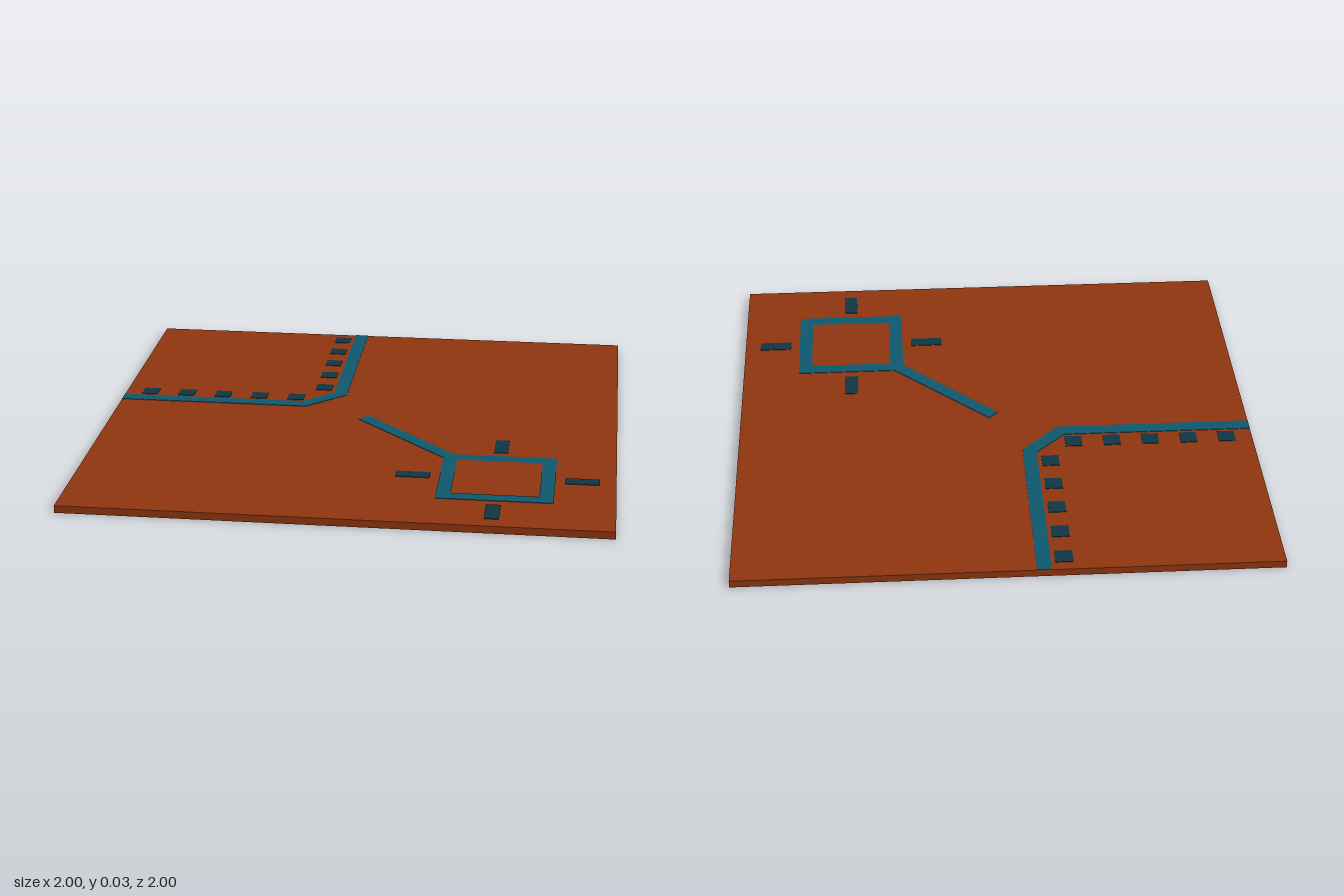
import * as THREE from 'three';

const TOP = 0.028;   // top of the slab
const PAINT = 0.002; // thickness of the markings

export function createModel() {
  const model = new THREE.Group();
  model.name = 'floorTile';

  const material = (name, color) => {
    const m = new THREE.MeshStandardMaterial({ color });
    m.name = name;
    return m;
  };
  const rust = material('rust', 0x8e3510);
  const teal = material('teal', 0x0d576c);
  const darkTeal = material('dark teal', 0x0e3543);

  const box = (name, mat, w, h, d, x, y, z, parent = model) => {
    const mesh = new THREE.Mesh(new THREE.BoxGeometry(w, h, d), mat);
    mesh.name = name;
    mesh.position.set(x, y, z);
    parent.add(mesh);
  };

  // Thin plate from an outline of [x, z] points, with optional holes
  const plate = (name, mat, outline, holes = []) => {
    const points = (list) => list.map(([x, z]) => new THREE.Vector2(x, -z));
    const shape = new THREE.Shape(points(outline));
    holes.forEach((hole) => shape.holes.push(new THREE.Path(points(hole))));
    const geometry = new THREE.ExtrudeGeometry(shape, { depth: PAINT, bevelEnabled: false });
    geometry.rotateX(-Math.PI / 2);
    const mesh = new THREE.Mesh(geometry, mat);
    mesh.name = name;
    mesh.position.y = TOP;
    model.add(mesh);
  };
  const square = (a, b) => [[a, a], [b, a], [b, b], [a, b]];

  // Slab
  box('slab', rust, 2, TOP, 2, 0, TOP / 2, 0);

  // Corner line with a chamfered bend
  plate('cornerLine', teal, [
    [-1, -0.152], [-0.268, -0.152], [-0.152, -0.268], [-0.152, -1],
    [-0.098, -1], [-0.098, -0.246], [-0.246, -0.098], [-1, -0.098],
  ]);

  // Square ring and the diagonal lead running to the centre
  plate('squareRing', teal, square(0.349, 0.776), [square(0.402, 0.723)]);
  const h = 0.019;
  plate('diagonalLead', teal, [
    [-h, h], [h, -h], [0.349 + 2 * h, 0.349], [0.349, 0.349 + 2 * h],
  ]);

  const markY = TOP + PAINT / 2;

  // Two rows of small squares along the corner line
  const dots = new THREE.Group();
  dots.name = 'squareMarks';
  model.add(dots);
  for (let i = 0; i < 5; i++) {
    box('rowMark', darkTeal, 0.066, PAINT, 0.066, -0.9 + i * 0.15, markY, -0.2, dots);
    box('columnMark', darkTeal, 0.066, PAINT, 0.066, -0.2, markY, -0.926 + i * 0.15, dots);
  }

  // Four dashes around the ring
  const dashes = new THREE.Group();
  dashes.name = 'ringDashes';
  model.add(dashes);
  const c = 0.5625;
  for (const side of [-1, 1]) {
    const p = c + side * 0.313;
    box('sideDash', darkTeal, 0.127, PAINT, 0.053, p, markY, c, dashes);
    box('endDash', darkTeal, 0.053, PAINT, 0.127, c, markY, p, dashes);
  }

  return model;
}
